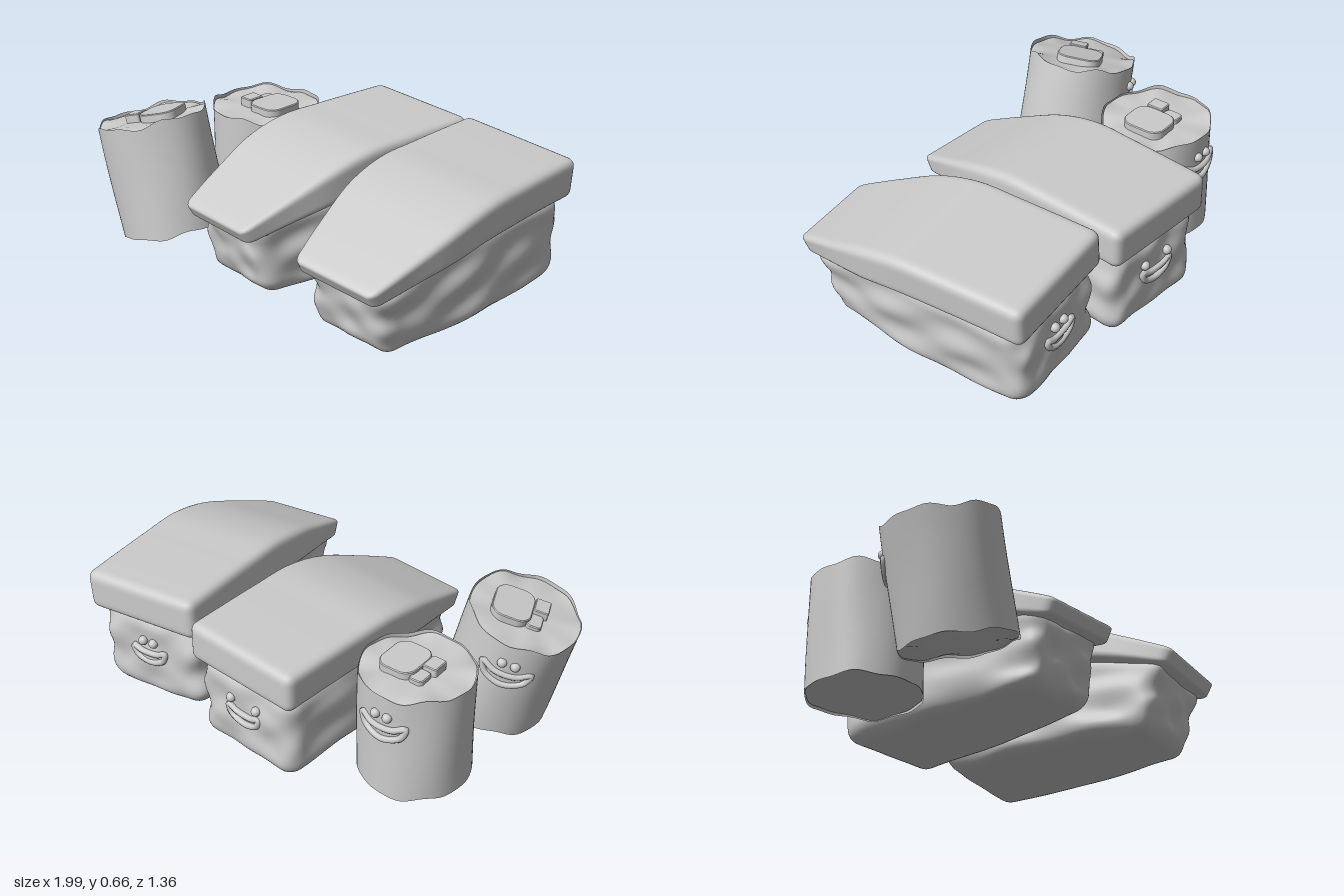
import * as THREE from 'three';
import { mergeVertices } from 'three/addons/utils/BufferGeometryUtils.js';

const mat = new THREE.MeshStandardMaterial({ color: 0xcccccc, side: THREE.DoubleSide });

function add(parent, name, geo) {
  const mesh = new THREE.Mesh(geo, mat);
  mesh.name = name;
  parent.add(mesh);
  return mesh;
}

// Move every vertex by a rule, then recompute normals
function warp(geo, rule) {
  const pos = geo.attributes.position, v = new THREE.Vector3();
  for (let i = 0; i < pos.count; i++) {
    rule(v.fromBufferAttribute(pos, i));
    pos.setXYZ(i, v.x, v.y, v.z);
  }
  geo.computeVertexNormals();
  return geo;
}

// Finely divided box with rounded edges and shared vertices
function softBox(w, h, d, r, step) {
  const n = s => Math.max(2, Math.round(s / step));
  let geo = new THREE.BoxGeometry(w, h, d, n(w), n(h), n(d));
  geo.deleteAttribute('uv');
  geo.deleteAttribute('normal');
  geo = mergeVertices(geo);
  const inner = new THREE.Vector3(w / 2 - r, h / 2 - r, d / 2 - r);
  const low = inner.clone().negate(), c = new THREE.Vector3();
  return warp(geo, v => {
    c.copy(v).clamp(low, inner);
    v.sub(c).setLength(r).add(c);
  });
}

// Evenly spaced stations along the fish: half width, top, bottom
const stations = new THREE.CatmullRomCurve3([
  [0.3, 0.61, 0.42], [0.303, 0.613, 0.425], [0.307, 0.613, 0.425], [0.31, 0.608, 0.42],
  [0.298, 0.56, 0.39], [0.257, 0.47, 0.35], [0.207, 0.372, 0.3],
].map(p => new THREE.Vector3(...p)), false, 'catmullrom');
const BACK = -0.65, LENGTH = 1.25;
const stationAt = z => stations.getPoint(THREE.MathUtils.clamp((z - BACK) / LENGTH, 0, 1));

// Smiling face looking along -z; depth(x) gives the surface distance
function makeFace(depth, eyeGap, width) {
  const face = new THREE.Group();
  face.name = 'face';
  const mouth = [[-0.5, 0.08], [-0.25, -0.01], [0, -0.03], [0.25, -0.01], [0.5, 0.08],
    [0.4, -0.16], [0, -0.29], [-0.4, -0.16]]
    .map(([x, y]) => new THREE.Vector3(x * width, y * width, -depth(x * width)));
  const path = new THREE.CatmullRomCurve3(mouth, true);
  add(face, 'mouth', new THREE.TubeGeometry(path, 64, 0.015, 8, true));
  for (const s of [-1, 1]) {
    const eye = add(face, 'eye', new THREE.SphereGeometry(0.022, 16, 12));
    eye.position.set(s * eyeGap / 2, 0.055, -depth(eyeGap / 2));
  }
  return face;
}

// Fish slice on a bumpy block of rice
function makeNigiri(name, seed, eyeGap) {
  const g = new THREE.Group();
  g.name = name;

  add(g, 'fishSlice', warp(softBox(0.6, 0.2, LENGTH, 0.04, 0.015), v => {
    v.z += BACK + LENGTH / 2;
    const s = stationAt(v.z);
    const t = (v.y + 0.1) / 0.2;
    v.x *= s.x / 0.3;
    v.y = THREE.MathUtils.lerp(s.z, s.y, t);
    v.z += 0.04 * (t - 0.7) * THREE.MathUtils.smoothstep(v.z, 0.2, 0.6);
  }));

  add(g, 'riceBlock', warp(softBox(0.56, 0.42, 1.12, 0.08, 0.02), v => {
    const t = (v.y + 0.21) / 0.42;
    const x0 = v.x, y0 = v.y, z0 = v.z;
    v.z -= 0.06;
    v.x *= THREE.MathUtils.lerp(0.99, 0.74, THREE.MathUtils.smoothstep(v.z, -0.1, 0.5));
    v.y = 0.012 + t * (stationAt(v.z).z + 0.02);
    v.z += (t - 0.5) * 0.07 * THREE.MathUtils.smoothstep(v.z, 0.1, 0.5);
    // Shallow lumps stretched along the length
    const lump = Math.sin(y0 * 34 + seed + 1.2 * Math.sin(z0 * 5))
      * Math.sin(z0 * 8 + x0 * 14 + seed * 2)
      + 0.5 * Math.sin(x0 * 30 + z0 * 15 + y0 * 20 + seed);
    v.x += 0.009 * lump * THREE.MathUtils.clamp(x0 / 0.2, -1, 1);
    v.z += 0.007 * lump * THREE.MathUtils.clamp(z0 / 0.5, -1, 1);
    v.y += 0.003 * lump;
  }));

  const face = makeFace(() => 0.624, eyeGap, 0.18);
  face.position.y = 0.255;
  g.add(face);
  return g;
}

// Seaweed roll with wavy rim, rice ends and a filling
function makeRoll(name, seed) {
  const R = 0.254, H = 0.53;
  const g = new THREE.Group();
  g.name = name;
  const wave = a => 0.009 * Math.sin(a * 5 + seed) + 0.006 * Math.sin(a * 9 + seed * 3);

  const wall = new THREE.CylinderGeometry(R, R, H, 64, 8, true);
  add(g, 'seaweedWrap', warp(wall, v => {
    const a = Math.atan2(v.z, v.x), t = v.y / H + 0.5;
    const k = 1 + 0.01 * Math.sin(a * 3 + t * 4 + seed) + 0.004 * Math.sin(a * 7 + seed);
    v.x *= k;
    v.z *= k;
    v.y = t * H + wave(a) * (t > 0.5 ? 2 * t - 1 : 0.7 * (1 - 2 * t));
  }));

  // Rice end discs, following the rim at their edge
  const disc = (label, y, dir, amp) => {
    const profile = [0, 0.06, 0.12, 0.18, 0.225, 0.25].map(r => new THREE.Vector2(r, 0));
    add(g, label, warp(new THREE.LatheGeometry(profile, 64), v => {
      const a = Math.atan2(v.z, v.x), r = Math.hypot(v.x, v.z) / R;
      v.y = y + amp * wave(a) * r ** 4 + dir * 0.005 * Math.sin(a * 3 + r * 8 + seed) * r;
    }));
  };
  disc('riceTop', H - 0.012, 1, 1);
  disc('riceBottom', 0.008, -1, 0.7);

  // Filling pieces: x, z, width, depth, height, corner radius
  for (const [x, z, w, d, h, r] of [
    [0.063, 0, 0.18, 0.21, 0.07, 0.06],
    [-0.062, 0.035, 0.07, 0.085, 0.075, 0.01],
    [-0.048, -0.05, 0.07, 0.085, 0.055, 0.02],
  ]) {
    const a = w / 2 - r, b = d / 2 - r;
    const shape = new THREE.Shape();
    shape.absarc(a, b, r, 0, Math.PI / 2);
    shape.absarc(-a, b, r, Math.PI / 2, Math.PI);
    shape.absarc(-a, -b, r, Math.PI, Math.PI * 1.5);
    shape.absarc(a, -b, r, Math.PI * 1.5, Math.PI * 2);
    const geo = new THREE.ExtrudeGeometry(shape, {
      depth: h, curveSegments: 8, bevelThickness: 0.004, bevelSize: 0.004, bevelOffset: -0.004, bevelSegments: 1,
    });
    geo.rotateX(-Math.PI / 2);
    add(g, 'filling', geo).position.set(x, H - 0.05, z);
  }

  const face = makeFace(x => Math.sqrt(R * R - x * x) + 0.003, 0.06, 0.22);
  face.position.y = 0.375;
  g.add(face);
  return g;
}

export function createModel() {
  const model = new THREE.Group();
  model.name = 'sushiSet';

  const nigiriA = makeNigiri('middleNigiri', 0.7, 0.15);
  nigiriA.position.set(-0.042, 0, 0);

  // Turned and leaning to the side
  const nigiriB = makeNigiri('leftNigiri', 3.1, 0.06);
  nigiriB.rotation.set(0, 0.135, -0.085, 'YXZ');
  nigiriB.position.set(0.635, 0.015, 0.01);

  const rollA = makeRoll('backRoll', 1.2);
  rollA.rotation.y = 0.08;
  rollA.position.set(-0.615, 0.015, -0.15);

  // Tipped outwards
  const rollB = makeRoll('frontRoll', 4.0);
  rollB.rotation.set(0.05, 0.48, 0.285, 'ZYX');
  rollB.position.set(-0.61, 0.08, 0.4);

  model.add(nigiriA, nigiriB, rollA, rollB);
  return model;
}
